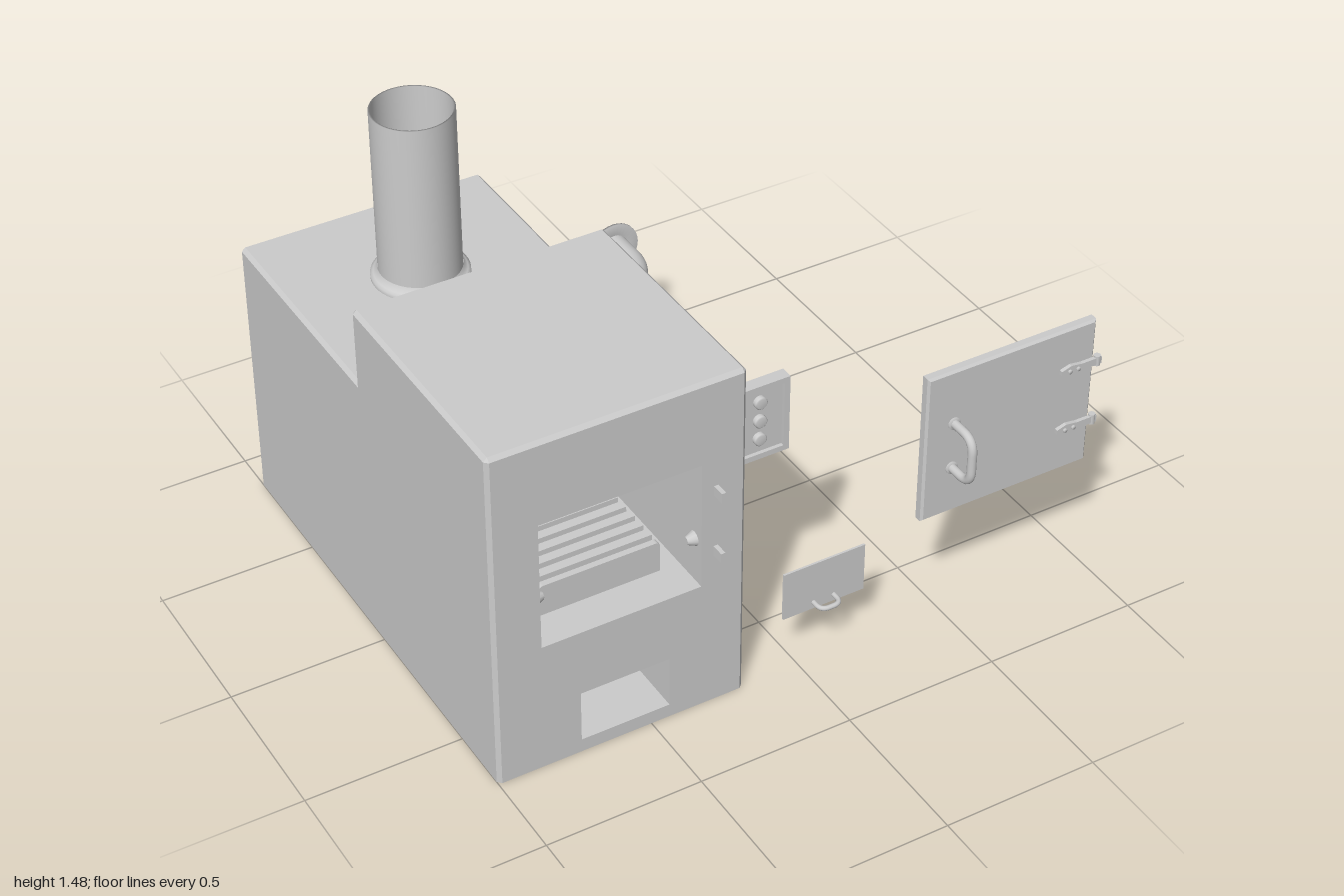
import * as THREE from 'three';

const grey = new THREE.MeshStandardMaterial({ color: 0xcccccc });
const sheet = new THREE.MeshStandardMaterial({ color: 0xcccccc, side: THREE.DoubleSide });

function add(parent, name, geo, mat = grey) {
  const mesh = new THREE.Mesh(geo, mat);
  mesh.name = name;
  parent.add(mesh);
  return mesh;
}

// Box given by its min and max on each axis
function block(parent, name, [x0, x1], [y0, y1], [z0, z1], mat) {
  const geo = new THREE.BoxGeometry(x1 - x0, y1 - y0, z1 - z0);
  geo.translate((x0 + x1) / 2, (y0 + y1) / 2, (z0 + z1) / 2);
  return add(parent, name, geo, mat);
}

function rectangle(PathType, x0, x1, y0, y1) {
  return new PathType([[x0, y0], [x1, y0], [x1, y1], [x0, y1]].map(p => new THREE.Vector2(...p)));
}

// Box with chamfered front and back edges
function bevelledPlate(parent, name, [x0, x1], [y0, y1], [z0, z1], b) {
  const geo = new THREE.ExtrudeGeometry(rectangle(THREE.Shape, x0 + b, x1 - b, y0 + b, y1 - b),
    { depth: z1 - z0 - 2 * b, bevelSize: b, bevelThickness: b, bevelSegments: 1 });
  geo.translate(0, 0, z0 + b);
  return add(parent, name, geo);
}

// Lathe part whose axis points along +x, +y or +z
function turned(parent, name, points, axis, pos, segments = 32, mat = sheet) {
  const geo = new THREE.LatheGeometry(points.map(p => new THREE.Vector2(...p)), segments);
  const mesh = add(parent, name, geo, mat);
  mesh.position.set(...pos);
  if (axis === 'x') mesh.rotation.z = -Math.PI / 2;
  if (axis === 'z') mesh.rotation.x = Math.PI / 2;
  return mesh;
}

// Straight run with rounded corners of radius r
function roundedPath(points, r) {
  const v = points.map(p => new THREE.Vector3(...p));
  const path = new THREE.CurvePath();
  let from = v[0];
  for (let i = 1; i < v.length - 1; i++) {
    const a = v[i].clone().add(v[i - 1].clone().sub(v[i]).setLength(r));
    const b = v[i].clone().add(v[i + 1].clone().sub(v[i]).setLength(r));
    path.add(new THREE.LineCurve3(from, a));
    path.add(new THREE.QuadraticBezierCurve3(a, v[i], b));
    from = b;
  }
  path.add(new THREE.LineCurve3(from, v[v.length - 1]));
  return path;
}

// Stepped shell, open underneath, with chamfered edges
function buildBody(root) {
  const body = new THREE.Group();
  body.name = 'body';
  root.add(body);
  const c = 0.012, xa = -1, xb = -0.19;
  const outer = [[-0.87, 0], [-0.87, 0.905 - c], [-0.87 + c, 0.905], [-0.08, 0.905], [-0.08, 1.16 - c],
    [-0.08 + c, 1.16], [0.72 - c, 1.16], [0.72, 1.16 - c], [0.72, 0]];
  const inner = [[-0.87 + c, 0], [-0.87 + c, 0.905 - c], [-0.87 + c, 0.905 - c], [-0.08 + c, 0.905 - c],
    [-0.08 + c, 1.16 - c], [-0.08 + c, 1.16 - c], [0.72 - c, 1.16 - c], [0.72 - c, 1.16 - c], [0.72 - c, 0]];
  const rings = [[xa, inner], [xa + c, outer], [xb - c, outer], [xb, inner]];
  const pos = [];
  for (let r = 0; r < 3; r++) {
    for (let i = 0; i < outer.length - 1; i++) {
      if (r === 1 && i === outer.length - 2) continue; // front panel is separate
      const at = (k, j) => [rings[k][0], rings[k][1][j][1], rings[k][1][j][0]];
      const p = at(r, i), q = at(r + 1, i), s = at(r + 1, i + 1), t = at(r, i + 1);
      pos.push(...p, ...t, ...q, ...q, ...t, ...s);
    }
  }
  const wrap = new THREE.BufferGeometry();
  wrap.setAttribute('position', new THREE.Float32BufferAttribute(pos, 3));
  // Outward winding: the path runs back to front over the top
  wrap.computeVertexNormals();
  add(body, 'shellWrap', wrap, sheet);

  const side = new THREE.Shape(inner.filter((p, i) => ![2, 5, 7].includes(i)).map(p => new THREE.Vector2(...p)));
  for (const [name, x, s] of [['rightSide', xa, 1], ['leftSide', xb, -1]]) {
    const geo = new THREE.ShapeGeometry(side);
    if (s < 0) { // flip winding so the panel faces outward
      const idx = geo.index.array;
      for (let i = 0; i < idx.length; i += 3) [idx[i], idx[i + 1]] = [idx[i + 1], idx[i]];
      geo.computeVertexNormals();
    }
    geo.rotateY(-Math.PI / 2);
    geo.translate(x, 0, 0);
    add(body, name, geo, sheet);
  }
  const front = rectangle(THREE.Shape, xa + c, xb - c, 0, 1.16 - c);
  front.holes.push(rectangle(THREE.Path, -0.85, -0.335, 0.445, 0.88));
  front.holes.push(rectangle(THREE.Path, -0.73, -0.44, 0.045, 0.22));
  add(body, 'frontPanel', new THREE.ShapeGeometry(front).translate(0, 0, 0.72), sheet);

  // Chambers behind the two openings: boxes without their front face
  const chamber = (name, x, y, z) => {
    const mesh = block(body, name, x, y, z, sheet);
    const idx = Array.from(mesh.geometry.index.array);
    idx.splice(24, 6);
    mesh.geometry.setIndex(idx);
  };
  chamber('firebox', [-0.85, -0.335], [0.445, 0.88], [-0.13, 0.72]);
  chamber('ashChamber', [-0.73, -0.44], [0.045, 0.22], [0.19, 0.72]);

  // Burner trough with grate bars
  const plate = new THREE.Shape();
  plate.moveTo(-0.79, 0.446).lineTo(-0.4, 0.446).lineTo(-0.4, 0.535).quadraticCurveTo(-0.4, 0.55, -0.415, 0.55)
    .lineTo(-0.775, 0.55).quadraticCurveTo(-0.79, 0.55, -0.79, 0.535);
  add(body, 'burnerFront', new THREE.ExtrudeGeometry(plate, { depth: 0.02, bevelEnabled: false }).translate(0, 0, 0.58));
  block(body, 'burnerBase', [-0.785, -0.405], [0.446, 0.51], [-0.12, 0.58]);
  for (let i = 0; i < 14; i++) {
    const z = 0.54 - i * 0.049;
    block(body, 'grateBar', [-0.79, -0.4], [0.51, 0.545], [z - 0.015, z + 0.015]);
  }
  for (const [x, s] of [[-0.85, 1], [-0.335, -1]]) {
    const latch = add(body, 'doorCatch', new THREE.CylinderGeometry(0.012, 0.024, 0.028, 12));
    latch.position.set(x + s * 0.014, 0.595, 0.68);
    latch.rotation.z = -s * Math.PI / 2;
  }
  for (const y of [0.775, 0.56]) block(body, 'hingeBracket', [-0.296, -0.282], [y - 0.017, y + 0.017], [0.72, 0.762]);
}

function buildPipes(root) {
  turned(root, 'chimney', [[0.127, 0], [0.127, 0.575], [0.121, 0.575], [0.121, 0]], 'y', [-0.595, 0.905, -0.47], 48);
  turned(root, 'chimneyCollar', [[0.15, 0], [0.15, 0.013], [0.141, 0.017], [0.133, 0.024], [0.128, 0.035]],
    'y', [-0.595, 0.905, -0.47], 48);
  const path = roundedPath([[-0.2, 0.45, -0.68], [0.29, 0.45, -0.68], [0.29, 0.45, -0.875]], 0.11);
  add(root, 'waterPipe', new THREE.TubeGeometry(path, 48, 0.048, 24), sheet);
  const ring = [[0.046, 0], [0.088, 0], [0.088, 0.008], [0.046, 0.008], [0.046, 0]];
  turned(root, 'wallFlange', ring, 'x', [-0.19, 0.45, -0.68]);
  turned(root, 'endFlange', ring, 'z', [0.29, 0.45, -0.88]);
  for (let i = 0; i < 6; i++) {
    const a = i * Math.PI / 3 + Math.PI / 6;
    const bolt = add(root, 'flangeBolt', new THREE.CylinderGeometry(0.011, 0.011, 0.01, 6));
    bolt.position.set(-0.177, 0.45 + 0.07 * Math.sin(a), -0.68 + 0.07 * Math.cos(a));
    bolt.rotation.z = -Math.PI / 2;
  }
}

function buildControls(root) {
  const box = new THREE.Group();
  box.name = 'controlBox';
  root.add(box);
  block(box, 'housing', [-0.19, 0], [0.755, 1.01], [0.6, 0.628]);
  const rim = rectangle(THREE.Shape, -0.19, 0, 0.755, 1.01);
  rim.holes.push(rectangle(THREE.Path, -0.172, -0.018, 0.773, 0.992));
  add(box, 'rim', new THREE.ExtrudeGeometry(rim, { depth: 0.012, bevelEnabled: false }).translate(0, 0, 0.628));
  for (const y of [0.95, 0.885, 0.822])
    turned(box, 'dial', [[0.02, 0], [0.02, 0.014], [0.016, 0.017], [0, 0.017]], 'z', [-0.095, y, 0.628], 24);
}

function buildDoors(root) {
  const door = new THREE.Group();
  door.name = 'fireDoor';
  root.add(door);
  bevelledPlate(door, 'doorPanel', [0.39, 0.98], [0.405, 0.92], [0.722, 0.758], 0.007);
  bevelledPlate(door, 'doorPlug', [0.422, 0.942], [0.45, 0.872], [0.692, 0.724], 0.006);
  const grip = roundedPath([[0.487, 0.572, 0.755], [0.487, 0.572, 0.855], [0.487, 0.733, 0.855], [0.487, 0.733, 0.755]], 0.05);
  add(door, 'doorHandle', new THREE.TubeGeometry(grip, 40, 0.014, 14));
  for (const y of [0.572, 0.733])
    turned(door, 'handleFoot', [[0.02, 0], [0.02, 0.008], [0, 0.008]], 'z', [0.487, y, 0.756], 20);
  for (const y of [0.775, 0.56]) {
    // Tapered strap with barrel and pins
    const strap = new THREE.Shape();
    strap.moveTo(0.857, y - 0.008).lineTo(0.89, y - 0.018).lineTo(0.93, y - 0.012).lineTo(1, y - 0.012)
      .lineTo(1, y + 0.012).lineTo(0.93, y + 0.012).lineTo(0.89, y + 0.018).lineTo(0.857, y + 0.008);
    add(door, 'hingeStrap', new THREE.ExtrudeGeometry(strap, { depth: 0.012, bevelEnabled: false }).translate(0, 0, 0.758));
    add(door, 'hingeBarrel', new THREE.CylinderGeometry(0.011, 0.011, 0.034, 12)).position.set(0.988, y, 0.762);
    for (const x of [0.885, 0.915])
      turned(door, 'hingeRivet', [[0.007, 0], [0.007, 0.005], [0, 0.005]], 'z', [x, y, 0.77], 10);
  }

  const ash = new THREE.Group();
  ash.name = 'ashDoor';
  root.add(ash);
  block(ash, 'ashPanel', [-0.04, 0.24], [0.172, 0.34], [0.688, 0.695]);
  const pull = roundedPath([[0.065, 0.195, 0.69], [0.065, 0.195, 0.738], [0.135, 0.195, 0.738], [0.135, 0.195, 0.69]], 0.028);
  add(ash, 'ashHandle', new THREE.TubeGeometry(pull, 32, 0.008, 10));
}

export function createModel() {
  const root = new THREE.Group();
  root.name = 'boiler';
  buildBody(root);
  buildPipes(root);
  buildControls(root);
  buildDoors(root);
  return root;
}
